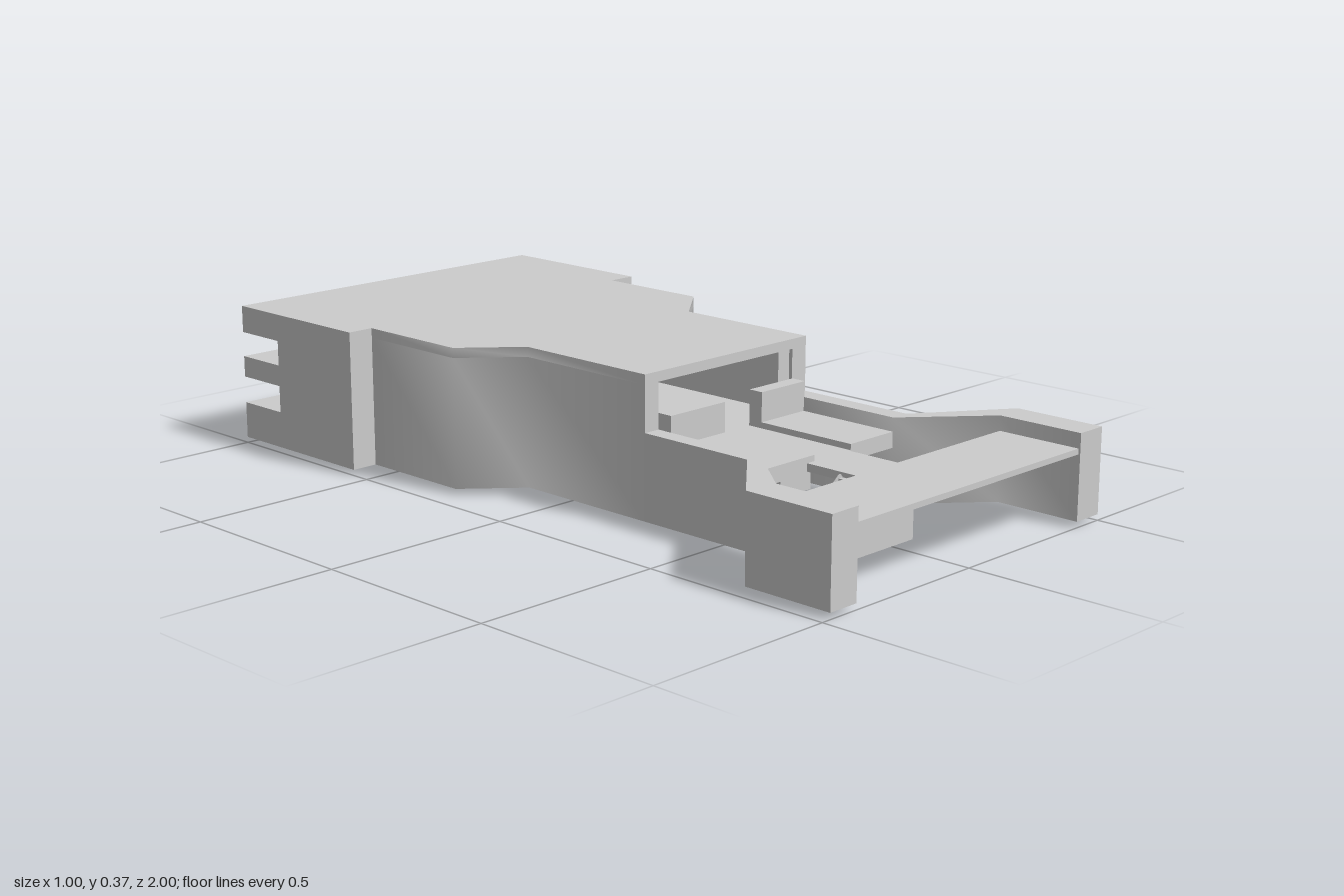
import * as THREE from 'three';
import { toCreasedNormals } from 'three/addons/utils/BufferGeometryUtils.js';

export function createModel() {
  const model = new THREE.Group();
  const material = new THREE.MeshStandardMaterial({ color: 0xcccccc, side: THREE.DoubleSide });

  const add = (name, geometry) => {
    const mesh = new THREE.Mesh(geometry, material);
    mesh.name = name;
    model.add(mesh);
    return mesh;
  };
  // Box given by its extents
  const box = (name, x0, x1, y0, y1, z0, z1) =>
    add(name, new THREE.BoxGeometry(x1 - x0, y1 - y0, z1 - z0)
      .translate((x0 + x1) / 2, (y0 + y1) / 2, (z0 + z1) / 2));
  // Plan outline of [x, z] points raised from y0 to y1, with soft shading round the bends
  const slab = (name, points, y0, y1) => {
    const shape = new THREE.Shape(points.map(([x, z]) => new THREE.Vector2(x, -z)));
    const geometry = new THREE.ExtrudeGeometry(shape, { depth: y1 - y0, bevelEnabled: false });
    return add(name, toCreasedNormals(geometry.rotateX(-Math.PI / 2).translate(0, y0, 0), 1.05));
  };

  // Plan paths of the two sides, from the back to the front of the roof
  const leftOuter = [[0.49, -1], [0.49, -0.55], [0.415, -0.55], [0.415, -0.24], [0.27, -0.12], [0.27, 0.28]];
  const rightOuter = [[-0.5, -1], [-0.5, -0.55], [-0.43, -0.55], [-0.43, -0.24], [-0.295, -0.12], [-0.295, 0.28]];
  const leftInner = [[0.45, -0.85], [0.45, -0.59], [0.375, -0.59], [0.375, -0.26], [0.22, -0.13], [0.22, 0.28]];
  const rightInner = [[-0.46, -0.85], [-0.46, -0.59], [-0.39, -0.59], [-0.39, -0.26], [-0.25, -0.13], [-0.25, 0.28]];
  const trimBack = path => path.map(([x, z]) => [x, Math.max(z, -0.85)]);

  // Main hull: side walls and roof
  slab('roof', [...leftOuter, ...rightOuter.slice().reverse()], 0.345, 0.37);
  slab('leftWall', [...trimBack(leftOuter), ...leftInner.slice().reverse()], 0.015, 0.345);
  slab('rightWall', [...trimBack(rightOuter), ...rightInner.slice().reverse()], 0.015, 0.345);

  // Slotted stern
  box('sternTopSlab', -0.5, 0.49, 0.3, 0.345, -1, -0.85);
  box('sternMiddleSlab', -0.5, 0.49, 0.18, 0.235, -1, -0.85);
  box('sternBottomSlab', -0.5, 0.49, 0.085, 0.11, -1, -0.85);
  box('sternBottomWall', -0.5, 0.49, 0.015, 0.085, -1, -0.96);
  box('sternLeftSkirt', 0.45, 0.49, 0.015, 0.085, -0.96, -0.85);
  box('sternRightSkirt', -0.5, -0.46, 0.015, 0.085, -0.96, -0.85);
  box('sternPillar', -0.12, 0.11, 0.11, 0.3, -1, -0.92);
  box('sternSill', -0.12, 0.11, 0.11, 0.15, -0.92, -0.85);

  // Front arms flaring out to the end posts
  slab('leftArm', [[0.27, 0.28], [0.27, 0.6], [0.5, 0.76], [0.5, 1], [0.415, 1], [0.415, 0.77],
    [0.22, 0.6], [0.22, 0.28]], 0.015, 0.23);
  slab('rightArm', [[-0.295, 0.28], [-0.295, 0.6], [-0.475, 0.76], [-0.475, 1], [-0.39, 1], [-0.39, 0.77],
    [-0.25, 0.6], [-0.25, 0.28]], 0.015, 0.23);

  // Front platform, its hanging wall and the gangway
  box('frontPlatform', -0.39, 0.415, 0.178, 0.192, 0.77, 0.995);
  box('platformWall', -0.39, 0.065, 0.005, 0.178, 0.77, 0.79);
  box('gangway', -0.09, 0.06, 0.16, 0.18, 0.59, 0.78);

  // Decks, with raised side strips and upright plates in the front opening
  box('deck', -0.25, 0.22, 0.155, 0.18, -0.26, 0.6);
  box('rearDeck', -0.39, 0.375, 0.155, 0.18, -0.55, -0.26);
  for (const [x0, x1] of [[-0.25, -0.065], [0.065, 0.222]]) {
    box('deckStrip', x0, x1, 0.18, 0.195, 0.28, 0.6);
    box('uprightPlate', x0, x1, 0.18, 0.27, 0.28, 0.32);
  }
  box('doorJamb', 0.18, 0.22, 0.18, 0.345, 0.2, 0.27);

  // Stairs of thin treads between two rails
  const stairs = (name, from, to, width, alongX) => {
    const steps = 16;
    const group = new THREE.Group();
    group.name = name;
    const a = new THREE.Vector3(...from), b = new THREE.Vector3(...to);
    for (let i = 0; i < steps; i++) {
      const tread = new THREE.Mesh(
        new THREE.BoxGeometry(alongX ? 0.016 : width, 0.006, alongX ? width : 0.016), material);
      tread.name = 'tread';
      tread.position.lerpVectors(a, b, (i + 0.5) / steps);
      group.add(tread);
    }
    for (const side of [-1, 1]) {
      const rail = new THREE.Mesh(new THREE.BoxGeometry(0.006, 0.016, a.distanceTo(b)), material);
      rail.name = 'stairRail';
      rail.position.lerpVectors(a, b, 0.5);
      rail.position[alongX ? 'z' : 'x'] += side * width / 2;
      rail.lookAt(b.clone().sub(a).add(rail.position));
      group.add(rail);
    }
    model.add(group);
  };
  stairs('frontStairs', [0.103, 0.02, 0.61], [0.103, 0.175, 0.77], 0.065, false);
  stairs('sideStairs', [-0.28, 0.02, 0.735], [-0.09, 0.17, 0.735], 0.065, true);

  // Underside: belly plate and hanging feet as [z centre, bottom]
  box('bellyPlate', -0.15, 0.35, 0.09, 0.11, -0.85, -0.4);
  for (const [z, bottom] of [[-0.565, 0.005], [-0.13, 0.005], [0.34, 0.015]]) {
    box('leftFoot', 0.07, 0.18, bottom, 0.16, z - 0.03, z + 0.04);
    box('rightFoot', -0.23, -0.12, bottom, 0.16, z - 0.03, z + 0.04);
  }
  for (const [x0, x1] of [[0.26, 0.345], [-0.355, -0.27]]) {
    box('outerFoot', x0, x1, 0, 0.16, -0.42, -0.38);
  }
  return model;
}
